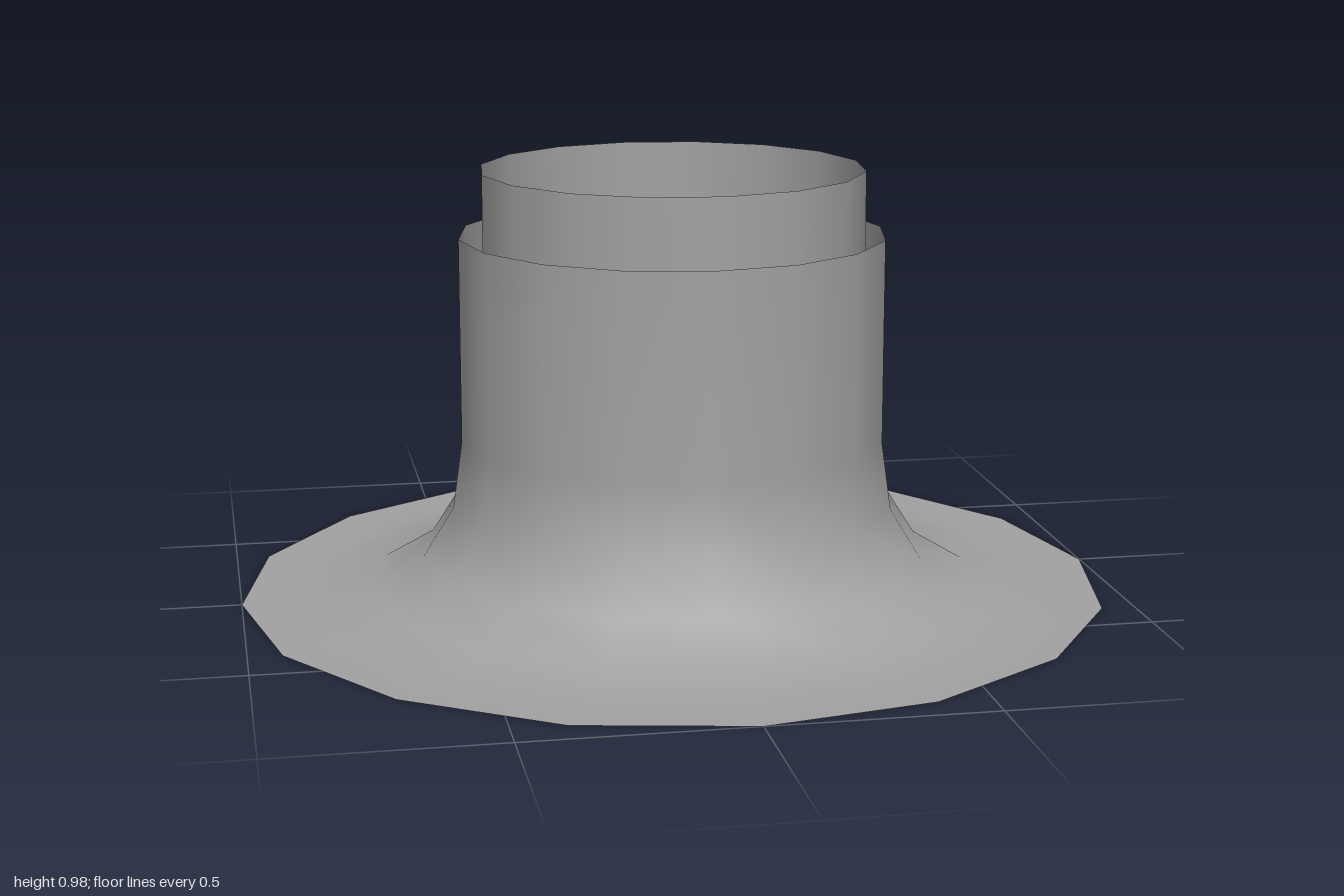
import * as THREE from 'three';

const SIDES = 16;
const material = new THREE.MeshStandardMaterial({ color: 0xa2a2a2, side: THREE.DoubleSide });

// Flare from the flat flange up to the straight wall: [radius, height]
const FLARE = [[0.855, 0], [0.7, 0.022], [0.583, 0.092], [0.512, 0.205], [0.49, 0.36]];

// Open thin-walled surface of revolution from [radius, height] pairs
function shell(name, profile) {
  const points = profile.map(([r, y]) => new THREE.Vector2(r, y));
  const mesh = new THREE.Mesh(new THREE.LatheGeometry(points, SIDES), material);
  mesh.name = name;
  return mesh;
}

export function createModel() {
  const group = new THREE.Group();
  group.name = 'flangedCollar';

  // Wide flange curving up into a straight neck
  group.add(shell('flaredNeck', [[1, 0], ...FLARE, [0.49, 0.83]]));

  // Narrower sleeve lining the neck and its flare, turned a few degrees against it
  const liner = FLARE.map(([r, y]) => [r - 0.049, y]);
  const sleeve = shell('innerSleeve', [[0.855, 0], ...liner, [0.441, 0.83], [0.441, 0.98]]);
  sleeve.rotation.y = 0.085;
  group.add(sleeve);

  return group;
}
